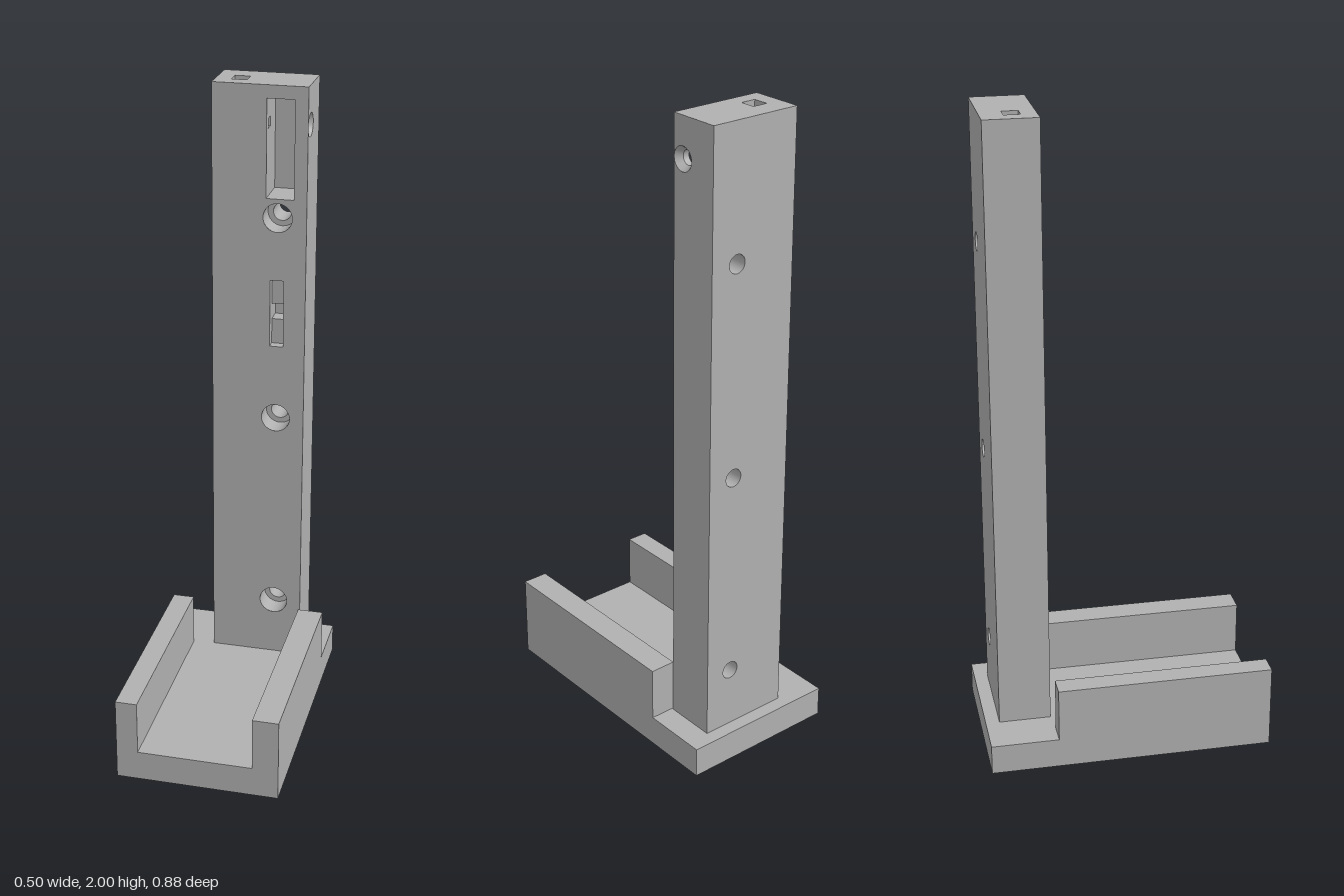
import * as THREE from 'three';

const grey = new THREE.MeshStandardMaterial({ color: 0xb0b0b0, side: THREE.DoubleSide });
grey.name = 'grey plastic';

// Post limits
const X0 = -0.117, X1 = 0.175, Y0 = 0.09, Y1 = 2, Z0 = -0.398, Z1 = -0.236;

const circle = (u, v, r) => ({ u, v, r });
const rect = (u0, v0, u1, v1) => ({ u0, v0, u1, v1 });

function createModel() {
  const model = new THREE.Group();
  const add = (name, geometry, parent = model) => {
    const mesh = new THREE.Mesh(geometry, grey);
    mesh.name = name;
    parent.add(mesh);
    return mesh;
  };

  // Flat rectangular face with holes. Coordinates are (x,y), (z,y) or (x,z) by direction.
  const face = (name, dir, at, area, holes, parent) => {
    const su = dir === '+x' || dir === '-z' ? -1 : 1;
    const sv = dir === '+y' ? -1 : 1;
    const trace = (path, a) => {
      if (a.r) path.absarc(a.u * su, a.v * sv, a.r, 0, Math.PI * 2);
      else path.setFromPoints([[a.u0, a.v0], [a.u1, a.v0], [a.u1, a.v1], [a.u0, a.v1]]
        .map(([u, v]) => new THREE.Vector2(u * su, v * sv)));
      return path;
    };
    const shape = trace(new THREE.Shape(), area);
    shape.holes = holes.map(h => trace(new THREE.Path(), h));
    const g = new THREE.ShapeGeometry(shape, 24);
    if (dir === '-z') g.rotateY(Math.PI).translate(0, 0, at);
    if (dir === '+z') g.translate(0, 0, at);
    if (dir === '+x') g.rotateY(Math.PI / 2).translate(at, 0, 0);
    if (dir === '-x') g.rotateY(-Math.PI / 2).translate(at, 0, 0);
    if (dir === '+y') g.rotateX(-Math.PI / 2).translate(0, at, 0);
    return add(name, g, parent);
  };

  // Open round wall running along z (or x) between two positions
  const bore = (name, axis, a, b, p, q, ra, rb, parent) => {
    const g = new THREE.CylinderGeometry(rb, ra, b - a, 32, 1, true);
    if (axis === 'z') g.rotateX(Math.PI / 2).translate(p, q, (a + b) / 2);
    else g.rotateZ(-Math.PI / 2).translate((a + b) / 2, p, q);
    return add(name, g, parent);
  };

  // Recess walls: a box seen from inside, leaving out the listed sides (+x -x +y -y +z -z = 0..5)
  const recess = (name, x0, x1, y0, y1, z0, z1, open, parent) => {
    const g = new THREE.BoxGeometry(x1 - x0, y1 - y0, z1 - z0);
    const idx = Array.from(g.index.array);
    const kept = [];
    for (let s = 0; s < 6; s++) {
      if (open.includes(s)) continue;
      for (let t = 0; t < 6; t += 3) {
        const i = s * 6 + t;
        kept.push(idx[i], idx[i + 2], idx[i + 1]);
      }
    }
    g.setIndex(kept);
    g.clearGroups();
    const n = g.attributes.normal;
    for (let i = 0; i < n.count; i++) n.setXYZ(i, -n.getX(i), -n.getY(i), -n.getZ(i));
    g.translate((x0 + x1) / 2, (y0 + y1) / 2, (z0 + z1) / 2);
    return add(name, g, parent);
  };

  // Base: channel with two side walls and a flat rear ledge
  const profile = new THREE.Shape([
    [-0.252, 0], [0.252, 0], [0.252, 0.265], [0.171, 0.265],
    [0.171, 0.095], [-0.185, 0.095], [-0.185, 0.265], [-0.252, 0.265],
  ].map(p => new THREE.Vector2(...p)));
  add('baseChannel', new THREE.ExtrudeGeometry(profile, { depth: 0.672, bevelEnabled: false })
    .translate(0, 0, -0.231));
  add('baseLedge', new THREE.BoxGeometry(0.504, 0.095, 0.21).translate(0, 0.0475, -0.336));

  // Post faces
  const post = new THREE.Group();
  post.name = 'post';
  model.add(post);
  const hx = 0.086, holeY = [0.288, 0.944, 1.598], rBig = 0.045, rSmall = 0.028;
  const pocket = rect(0.05, 1.657, 0.135, 1.96);
  const slot = rect(0.065, 1.185, 0.107, 1.4);
  const notch = rect(0.065, 1.265, 0.107, 1.315);
  const nut = rect(-0.068, -0.331, -0.021, -0.283);
  const sy = 1.88, sz = -0.273;

  face('postFront', '+z', Z1, rect(X0, Y0, X1, Y1),
    [...holeY.map(y => circle(hx, y, rBig)), pocket, slot], post);
  face('postBack', '-z', Z0, rect(X0, Y0, X1, Y1), holeY.map(y => circle(hx, y, rSmall)), post);
  face('postLeft', '+x', X1, rect(Z0, Y0, Z1, Y1), [circle(sz, sy, 0.036)], post);
  face('postRight', '-x', X0, rect(Z0, Y0, Z1, Y1), [], post);
  face('postTop', '+y', Y1, rect(X0, Z0, X1, Z1), [nut], post);

  // Counterbored mounting holes
  const step = Z1 - 0.07;
  for (const y of holeY) {
    bore('counterbore', 'z', step, Z1, hx, y, rBig, rBig, post);
    bore('throughHole', 'z', Z0, step, hx, y, rSmall, rSmall, post);
    add('counterboreSeat', new THREE.RingGeometry(rSmall, rBig, 32).translate(hx, y, step), post);
  }

  // Tall pocket, with openings towards the side screw
  const pz = Z1 - 0.12;
  const duct = rect(sz - 0.015, sy - 0.015, sz + 0.015, sy + 0.015);
  recess('pocket', 0.05, 0.135, 1.657, 1.96, pz, Z1, [0, 1, 4], post);
  face('pocketInnerWall', '+x', 0.05, rect(pz, 1.657, Z1, 1.96), [duct], post);
  face('pocketOuterWall', '-x', 0.135, rect(pz, 1.657, Z1, 1.96), [circle(sz, sy, 0.022)], post);
  recess('screwDuct', -0.045, 0.05, duct.v0, duct.v1, duct.u0, duct.u1, [0], post);
  bore('countersink', 'x', 0.155, X1, sy, sz, 0.022, 0.036, post);
  bore('screwHole', 'x', 0.135, 0.155, sy, sz, 0.022, 0.022, post);

  // Shallow slot with a deeper middle
  recess('slot', slot.u0, slot.u1, slot.v0, slot.v1, Z1 - 0.03, Z1, [4, 5], post);
  face('slotFloor', '+z', Z1 - 0.03, rect(slot.u0, slot.v0, slot.u1, notch.v0), [], post);
  face('slotFloor', '+z', Z1 - 0.03, rect(slot.u0, notch.v1, slot.u1, slot.v1), [], post);
  recess('slotNotch', notch.u0, notch.u1, notch.v0, notch.v1, Z1 - 0.08, Z1 - 0.03, [4], post);

  // Square socket in the top
  recess('topSocket', nut.u0, nut.u1, 1.84, Y1, nut.v0, nut.v1, [2], post);

  return model;
}

export { createModel };
